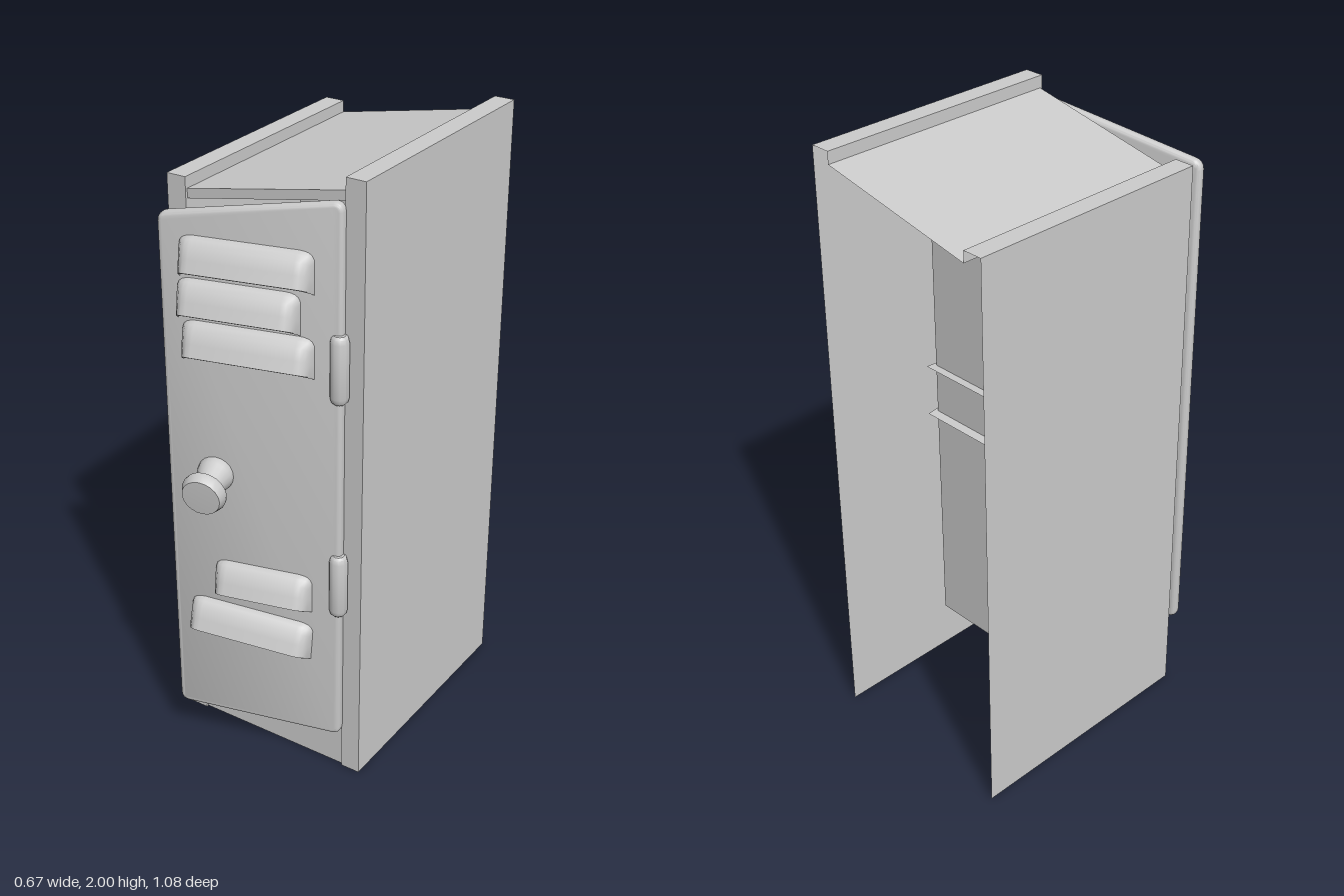
import * as THREE from 'three';
import { toCreasedNormals } from 'three/addons/utils/BufferGeometryUtils.js';

const solid = new THREE.MeshStandardMaterial({ color: 0xcccccc });
const sheet = new THREE.MeshStandardMaterial({ color: 0xcccccc, side: THREE.DoubleSide });

function add(parent, name, geometry, material = solid) {
  const mesh = new THREE.Mesh(geometry, material);
  mesh.name = name;
  parent.add(mesh);
  return mesh;
}

// Flat sheet metal from a list of four-cornered panels
function panels(quads) {
  const pos = [];
  for (const [a, b, c, d] of quads) pos.push(...a, ...b, ...c, ...a, ...c, ...d);
  const g = new THREE.BufferGeometry();
  g.setAttribute('position', new THREE.Float32BufferAttribute(pos, 3));
  g.computeVertexNormals();
  return g;
}

// Pressed vent hood: sections across the width, rounded at both ends
function louvreGeometry(width) {
  const ends = [[0, 0], [0.006, 0.5], [0.016, 0.8], [0.03, 0.95], [0.045, 1]];
  const sections = [
    ...ends.map(([t, e]) => [-width / 2 + t, e]),
    ...ends.map(([t, e]) => [width / 2 - t, e]).reverse(),
  ];
  const profile = [[0, 0], [-0.006, 0.02], [-0.022, 0.036], [-0.055, 0.049], [-0.092, 0.062], [-0.096, 0.056], [-0.085, 0]];
  const pos = [], idx = [], n = profile.length;
  sections.forEach(([x, e], i) => {
    profile.forEach(([y, z], j) => {
      const k = j / (n - 1);
      pos.push(x, y - (1 - e) * (0.025 + 0.01 * k), z * e);
      if (i && j) {
        const a = (i - 1) * n + j - 1, b = i * n + j - 1;
        idx.push(a, a + 1, b, b, a + 1, b + 1);
      }
    });
  });
  const g = new THREE.BufferGeometry();
  g.setAttribute('position', new THREE.Float32BufferAttribute(pos, 3));
  g.setIndex(idx);
  return toCreasedNormals(g, 0.8);
}

const lathe = (points, sides) =>
  toCreasedNormals(new THREE.LatheGeometry(points.map(([r, y]) => new THREE.Vector2(r, y)), sides), 0.7);

export function createModel() {
  const model = new THREE.Group();
  model.name = 'locker';
  const W = 0.335, IN = 0.27, BACK = -0.54, FRONT = 0.288, FACE = 0.28;
  const roofY = (x) => 1.907 + x * 0.2;

  // Side sheets with folded front flange and top lip
  for (const s of [-1, 1]) {
    const h = s > 0 ? 2 : 1.89, x = s * W, i = s * IN, r = roofY(i);
    add(model, s > 0 ? 'leftSide' : 'rightSide', panels([
      [[x, 0, BACK], [x, 0, FRONT], [x, h, FRONT], [x, h, BACK]],
      [[x, 0, FRONT], [i, 0, FRONT], [i, h, FRONT], [x, h, FRONT]],
      [[x, h, FRONT], [i, h, FRONT], [i, h, BACK], [x, h, BACK]],
      [[i, r, FRONT], [i, h, FRONT], [i, h, BACK], [i, r, BACK]],
      [[i, 0, FRONT], [i, 0, FACE], [i, h, FACE], [i, h, FRONT]],
    ]), sheet);
  }

  // Sloping roof, header strip and front sill
  const L = roofY(-IN), R = roofY(IN), drop = 0.03, sill = 0.14;
  add(model, 'roof', panels([
    [[-IN, L, FACE], [IN, R, FACE], [IN, R, BACK], [-IN, L, BACK]],
    [[-IN, L - drop, FACE], [IN, R - drop, FACE], [IN, R, FACE], [-IN, L, FACE]],
  ]), sheet);
  add(model, 'sill', panels([[[-IN, 0, FACE], [IN, 0, FACE], [IN, sill, FACE], [-IN, sill, FACE]]]), sheet);

  // Tapered inner compartment
  const b = 0.22, zb = -0.22;
  const front = [[-IN, sill, FACE], [IN, sill, FACE], [IN, R - drop, FACE], [-IN, L - drop, FACE]];
  const rear = [[-b, 0.28, zb], [b, 0.28, zb], [b, 1.78, zb], [-b, 1.69, zb]];
  add(model, 'compartment', panels([
    rear,
    ...front.map((p, i) => [p, front[(i + 1) % 4], rear[(i + 1) % 4], rear[i]]),
  ]), sheet);

  // Thin shelves that reach just past the compartment back
  for (const [y0, y1] of [[1.17, 1.22], [1.09, 1.05]]) {
    add(model, 'shelf', panels([
      [[-0.262, y0, 0.24], [0.262, y0, 0.24], [0.23, y1, zb - 0.03], [-0.23, y1, zb - 0.03]],
    ]), sheet);
  }

  // Door, ajar and pivoting on the hinge side
  const door = new THREE.Group();
  door.name = 'door';
  const angle = 0.243;
  door.position.set(IN, 0, 0.276);
  door.rotation.y = angle;
  model.add(door);
  const localX = (x) => (x - IN - 0.01) / Math.cos(angle);

  const bevel = 0.014, corners = [[-0.55, 0.14], [0, 0.14], [0, 1.935], [-0.55, 1.84]]
    .map(([x, y], i) => new THREE.Vector2(
      x + (i === 0 || i === 3 ? bevel : -bevel), y + (i < 2 ? bevel : -bevel)));
  const outline = new THREE.Shape();
  corners.forEach((p, i) => {
    const toward = (q) => p.clone().add(q.clone().sub(p).setLength(0.016));
    const a = toward(corners[(i + 3) % 4]), c = toward(corners[(i + 1) % 4]);
    if (i) outline.lineTo(a.x, a.y);
    else outline.moveTo(a.x, a.y);
    outline.quadraticCurveTo(p.x, p.y, c.x, c.y);
  });
  outline.closePath();
  const slab = new THREE.ExtrudeGeometry(outline, {
    depth: 0.008, bevelThickness: bevel, bevelSize: bevel, bevelSegments: 4, curveSegments: 4,
  });
  slab.translate(0, 0, bevel);
  add(door, 'doorPanel', toCreasedNormals(slab, 0.7));

  // Vent hoods: left edge, right edge, top height, tilt
  const vents = [
    [-0.19, 0.2, 1.785, 0], [-0.2, 0.16, 1.655, 0], [-0.19, 0.2, 1.525, 0],
    [-0.115, 0.19, 0.725, 0], [-0.195, 0.195, 0.562, -0.07],
  ];
  for (const [x0, x1, y, tilt] of vents) {
    const louvre = add(door, 'louvre', louvreGeometry(localX(x1) - localX(x0)), sheet);
    louvre.position.set(localX((x0 + x1) / 2), y, 0.035);
    louvre.rotation.z = tilt;
  }

  // Knob, drooping slightly, with its base passing through the door
  const knob = new THREE.Group();
  knob.name = 'knobMount';
  knob.position.set(localX(-0.105), 1.032, 0);
  knob.rotation.x = 0.16;
  door.add(knob);
  add(knob, 'knob', lathe([
    [0, -0.034], [0.04, -0.034], [0.046, -0.026], [0.058, 0.03], [0.055, 0.05], [0.044, 0.085],
    [0.043, 0.1], [0.068, 0.118], [0.07, 0.13], [0.06, 0.155], [0, 0.157],
  ], 20)).rotation.x = Math.PI / 2;

  // Hinge barrels
  for (const y of [1.437, 0.71]) {
    add(model, 'hinge', lathe([
      [0, -0.107], [0.018, -0.107], [0.025, -0.1], [0.029, -0.085],
      [0.029, 0.085], [0.025, 0.1], [0.018, 0.107], [0, 0.107],
    ], 10)).position.set(0.266, y, 0.306);
  }
  return model;
}
